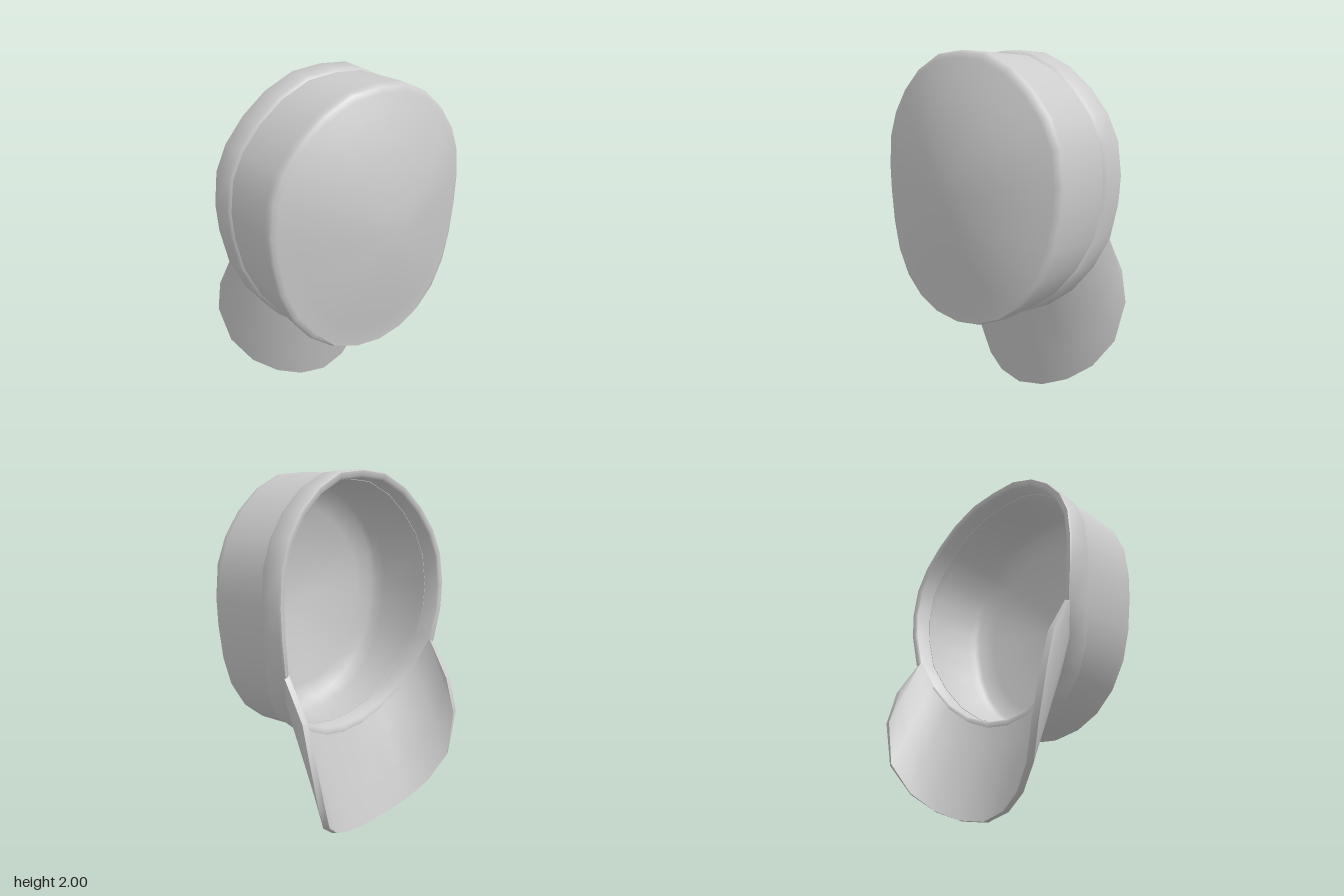
import * as THREE from 'three';
import { toCreasedNormals } from 'three/addons/utils/BufferGeometryUtils.js';

const CENTRE_Y = 1.27;
const DOME_Z = 0.445;
const WALL = 0.035;

// Half outline of the cap, top to bottom: [x, y, z of rear rim, z of front edge]
const HALF = [
  [0, 2, -0.2, 0.29], [0.17, 1.985, -0.205, 0.288], [0.33, 1.91, -0.217, 0.28],
  [0.46, 1.8, -0.23, 0.27], [0.56, 1.67, -0.245, 0.26], [0.62, 1.53, -0.257, 0.253],
  [0.64, 1.35, -0.265, 0.25], [0.632, 1.2, -0.263, 0.252], [0.6, 1.01, -0.245, 0.262],
  [0.54, 0.85, -0.185, 0.28], [0.44, 0.71, -0.135, 0.3], [0.31, 0.61, -0.1, 0.318],
  [0.16, 0.55, -0.077, 0.33], [0, 0.53, -0.07, 0.335],
];
const mirrorX = ([x, ...rest]) => [-x, ...rest];
const OUTLINE = [...HALF, ...HALF.slice(0, -1).reverse().map(mirrorX)];

const place = ([x, y], s, z) => [x * s, CENTRE_Y + (y - CENTRE_Y) * s, z];
const rimRing = (s, dz) => OUTLINE.map((p) => place(p, s, p[2] + dz));
const edgeRing = (s, dz) => OUTLINE.map((p) => place(p, s, p[3] + dz));

// Ring on the domed front; the dome is flatter towards the bottom
function domeRing(t, size, dz) {
  return OUTLINE.map((p) => {
    const power = THREE.MathUtils.mapLinear(p[1], 0.53, 2, 1.4, 2.2);
    return place(p, t * size, p[3] + (DOME_Z - p[3]) * (1 - t ** power) + dz);
  });
}

// Skin a list of equally long rows of points
function loft(rows, name, material) {
  const n = rows[0].length;
  const positions = rows.flat(2);
  const at = (k) => new THREE.Vector3().fromArray(positions, k * 3);
  const index = [];
  const tri = (a, b, c) => {
    if (new THREE.Triangle(at(a), at(b), at(c)).getArea() > 1e-8) index.push(a, b, c);
  };
  for (let i = 0; i < rows.length - 1; i++) {
    for (let j = 0; j < n - 1; j++) {
      const a = i * n + j;
      tri(a, a + 1, a + n);
      tri(a + 1, a + n + 1, a + n);
    }
  }
  const geometry = new THREE.BufferGeometry();
  geometry.setAttribute('position', new THREE.Float32BufferAttribute(positions, 3));
  geometry.setIndex(index);
  const mesh = new THREE.Mesh(toCreasedNormals(geometry, 0.95), material);
  mesh.name = name;
  return mesh;
}

// Crown: domed front, rounded edge and side wall, then the lining
function crownRows() {
  const dome = [0, 0.2, 0.4, 0.6, 0.8, 0.95];
  return [
    ...dome.map((t) => domeRing(t, 0.985, 0)),
    edgeRing(0.972, 0.006),
    edgeRing(0.985, -0.012),
    edgeRing(0.987, -0.04),
    rimRing(0.972, 0.1),
    rimRing(0.93, 0.1),
    rimRing(0.93, 0.15),
    edgeRing(0.93, -0.1),
    edgeRing(0.9, -0.05),
    ...dome.slice().reverse().map((t) => domeRing(t, 0.92, -WALL)),
  ];
}

// Band: raised strip folded round the rear rim
function bandRows() {
  return [
    rimRing(0.968, 0.155), rimRing(0.985, 0.143), rimRing(0.994, 0.13),
    rimRing(1, 0.012), rimRing(0.99, 0), rimRing(0.955, 0),
    rimRing(0.94, 0.012), rimRing(0.93, 0.15),
  ];
}

// Visor: curved plate from the lower rim to its free edge
function visorRows() {
  const roots = [HALF[8], ...HALF.slice(8)];
  const tips = [
    [0.6, 0.8, -0.37], [0.6, 0.6, -0.422], [0.54, 0.35, -0.418], [0.44, 0.19, -0.345],
    [0.31, 0.09, -0.275], [0.165, 0.03, -0.222], [0, 0.005, -0.2],
  ];
  const mix = (a, b, t) => a.map((v, i) => v + (b[i] - v) * t);
  const steps = [0, 0.35, 0.7, 1];
  const columns = roots.map((root, k) => {
    const angle = (k / (roots.length - 1)) * Math.PI / 2;
    const tip = tips[k];
    const innerTip = [tip[0] - WALL * Math.cos(angle), tip[1], tip[2] - 0.03 * Math.sin(angle)];
    const outerRoot = place(root, 0.99, root[2] + 0.012);
    const innerRoot = place(root, 0.942, root[2] + 0.012);
    return [
      ...steps.map((t) => mix(outerRoot, tip, t)),
      ...steps.map((t) => mix(innerTip, innerRoot, t)),
    ];
  });
  // close the side end by folding its two faces together
  const first = columns[0];
  columns.unshift(first.map((p, i) => mix(p, first[first.length - 1 - i], 0.5)));
  const all = [...columns, ...columns.slice(0, -1).reverse().map((c) => c.map(mirrorX))];
  return all[0].map((_, i) => all.map((c) => c[i]));
}

export function createModel() {
  const material = new THREE.MeshStandardMaterial({ color: 0xcccccc, side: THREE.DoubleSide });
  const cap = new THREE.Group();
  cap.name = 'cap';
  cap.add(
    loft(crownRows(), 'crown', material),
    loft(bandRows(), 'band', material),
    loft(visorRows(), 'visor', material),
  );
  return cap;
}
